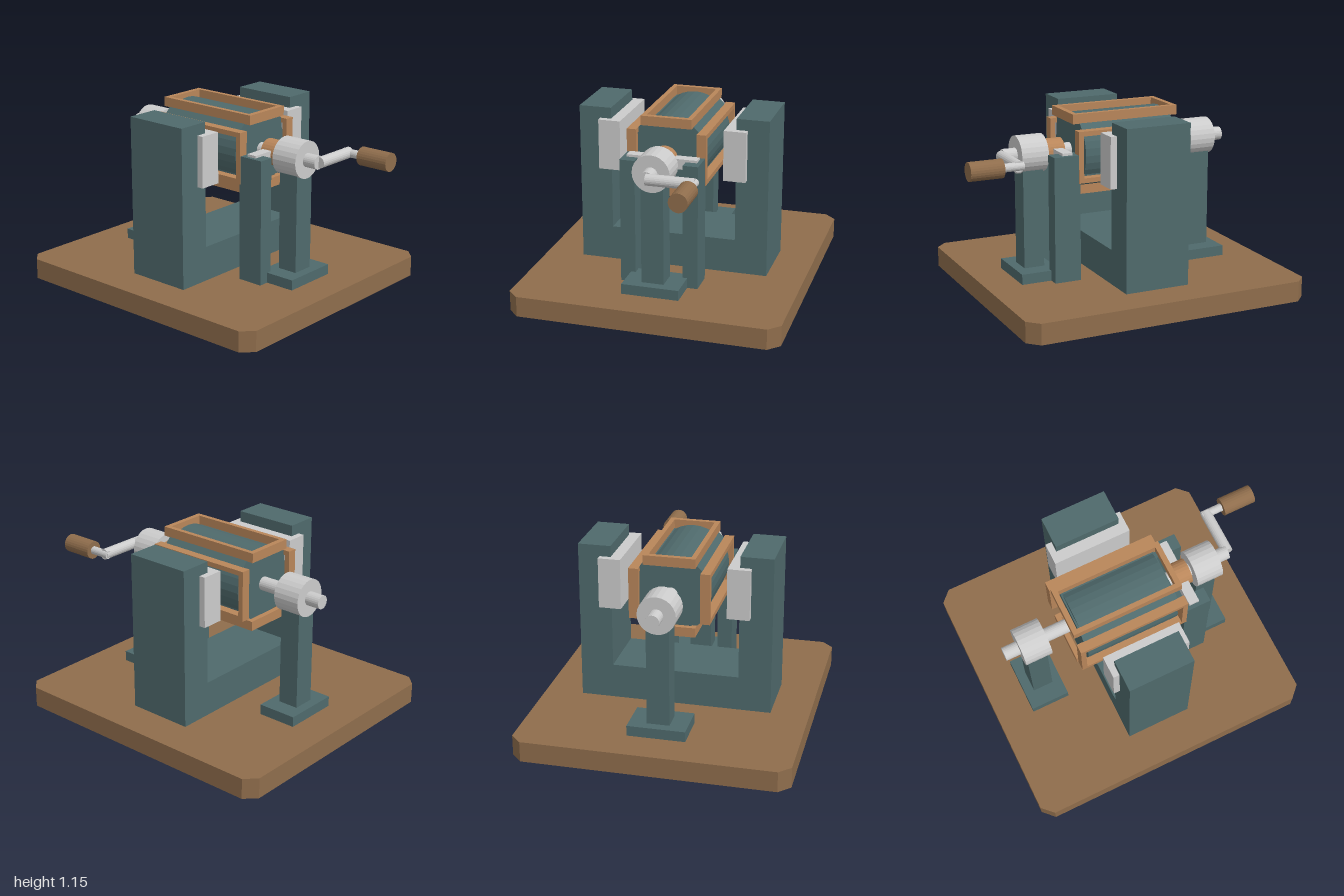
import * as THREE from 'three';

const material = (color) => new THREE.MeshStandardMaterial({ color, flatShading: true });
const AXIS_Y = 0.905; // shaft height
const CORE_Z = -0.075; // middle of rotor and magnet

export function createModel() {
  const model = new THREE.Group();
  model.name = 'handCrankedGenerator';
  const wood = material(0x8f6d4c);
  const teal = material(0x4f6a6c);
  const copper = material(0xb9865a);
  const grey = material(0xcccccc);

  const add = (parent, name, geometry, mat) => {
    const mesh = new THREE.Mesh(geometry, mat);
    mesh.name = name;
    parent.add(mesh);
    return mesh;
  };
  // Box given by its limits on each axis
  const box = (name, mat, x0, x1, y0, y1, z0, z1, parent = model) => {
    const mesh = add(parent, name, new THREE.BoxGeometry(x1 - x0, y1 - y0, z1 - z0), mat);
    mesh.position.set((x0 + x1) / 2, (y0 + y1) / 2, (z0 + z1) / 2);
    return mesh;
  };
  // Cylinder along z at shaft height
  const rod = (name, mat, r, z0, z1, x = 0, sides = 24) => {
    const geometry = new THREE.CylinderGeometry(r, r, z1 - z0, sides).rotateX(Math.PI / 2);
    const mesh = add(model, name, geometry, mat);
    mesh.position.set(x, AXIS_Y, (z0 + z1) / 2);
    return mesh;
  };
  // Rectangle with cut corners, c = 0 gives a plain rectangle
  const cutRect = (w, h, c) => new THREE.Shape([
    [-w + c, -h], [w - c, -h], [w, -h + c], [w, h - c],
    [w - c, h], [-w + c, h], [-w, h - c], [-w, -h + c],
  ].map(([x, y]) => new THREE.Vector2(x, y)));
  const extrude = (shape, depth) =>
    new THREE.ExtrudeGeometry(shape, { depth, bevelEnabled: false });

  // Base board with cut corners
  const base = add(model, 'baseBoard',
    extrude(cutRect(0.845, 0.9275, 0.07), 0.13).rotateX(-Math.PI / 2), wood);
  base.position.z = -0.0725;

  // U-shaped magnet yoke
  const yoke = new THREE.Shape([
    [-0.605, 0.13], [0.605, 0.13], [0.605, 1.14], [0.4, 1.14],
    [0.4, 0.35], [-0.4, 0.35], [-0.4, 1.14], [-0.605, 1.14],
  ].map(([x, y]) => new THREE.Vector2(x, y)));
  add(model, 'magnetYoke', extrude(yoke, 0.42), teal).position.z = CORE_Z - 0.21;

  // Pole shoes, brush posts and brushes on both sides
  for (const s of [-1, 1]) {
    const side = s > 0 ? 'left' : 'right';
    const pair = (name, mat, x0, x1, ...rest) =>
      box(side + name, mat, Math.min(s * x0, s * x1), Math.max(s * x0, s * x1), ...rest);
    pair('PoleShoe', grey, 0.33, 0.47, 0.75, 1.07, -0.325, 0.175);
    pair('BrushPost', teal, 0.15, 0.245, 0.13, 0.92, 0.27, 0.44);
    pair('Brush', grey, 0.07, 0.22, 0.87, 0.935, 0.31, 0.375);
  }

  // Rotor core: cut-corner block with a drum bulging through its faces
  add(model, 'rotorCore', extrude(cutRect(0.195, 0.195, 0.038), 0.62), teal)
    .position.set(0, AXIS_Y, CORE_Z - 0.31);
  rod('rotorDrum', teal, 0.23, CORE_Z - 0.3, CORE_Z + 0.3, 0, 32);

  // Four rectangular coils around the rotor
  const coilShape = cutRect(0.16, 0.355, 0);
  coilShape.holes.push(cutRect(0.13, 0.322, 0));
  const coilGeometry = extrude(coilShape, 0.06).rotateX(-Math.PI / 2).translate(0, 0.19, 0);
  for (let i = 0; i < 4; i++) {
    const coil = add(model, 'coil' + (i + 1), coilGeometry, copper);
    coil.position.set(0, AXIS_Y, CORE_Z);
    coil.rotation.z = i * Math.PI / 2;
  }

  // Shaft and commutator
  rod('shaft', grey, 0.043, -0.83, 0.68);
  rod('commutator', copper, 0.08, 0.295, 0.405);

  // Bearing stands in front and behind
  for (const [name, z] of [['front', 0.507], ['back', -0.648]]) {
    rod(name + 'Bearing', grey, 0.117, z - 0.087, z + 0.087);
    box(name + 'BearingPost', teal, -0.07, 0.07, 0.13, 0.82, z - 0.066, z + 0.066);
    box(name + 'BearingFoot', teal, -0.18, 0.18, 0.13, 0.195, z - 0.126, z + 0.126);
  }

  // Crank arm, pin and handle
  const arm = add(model, 'crankArm',
    new THREE.CylinderGeometry(0.035, 0.035, 0.295, 20).rotateZ(Math.PI / 2), grey);
  arm.position.set(0.1475, AXIS_Y, 0.685);
  rod('crankPin', grey, 0.026, 0.655, 0.8, 0.285, 20);
  rod('crankHandle', wood, 0.058, 0.79, 1, 0.285);

  return model;
}
